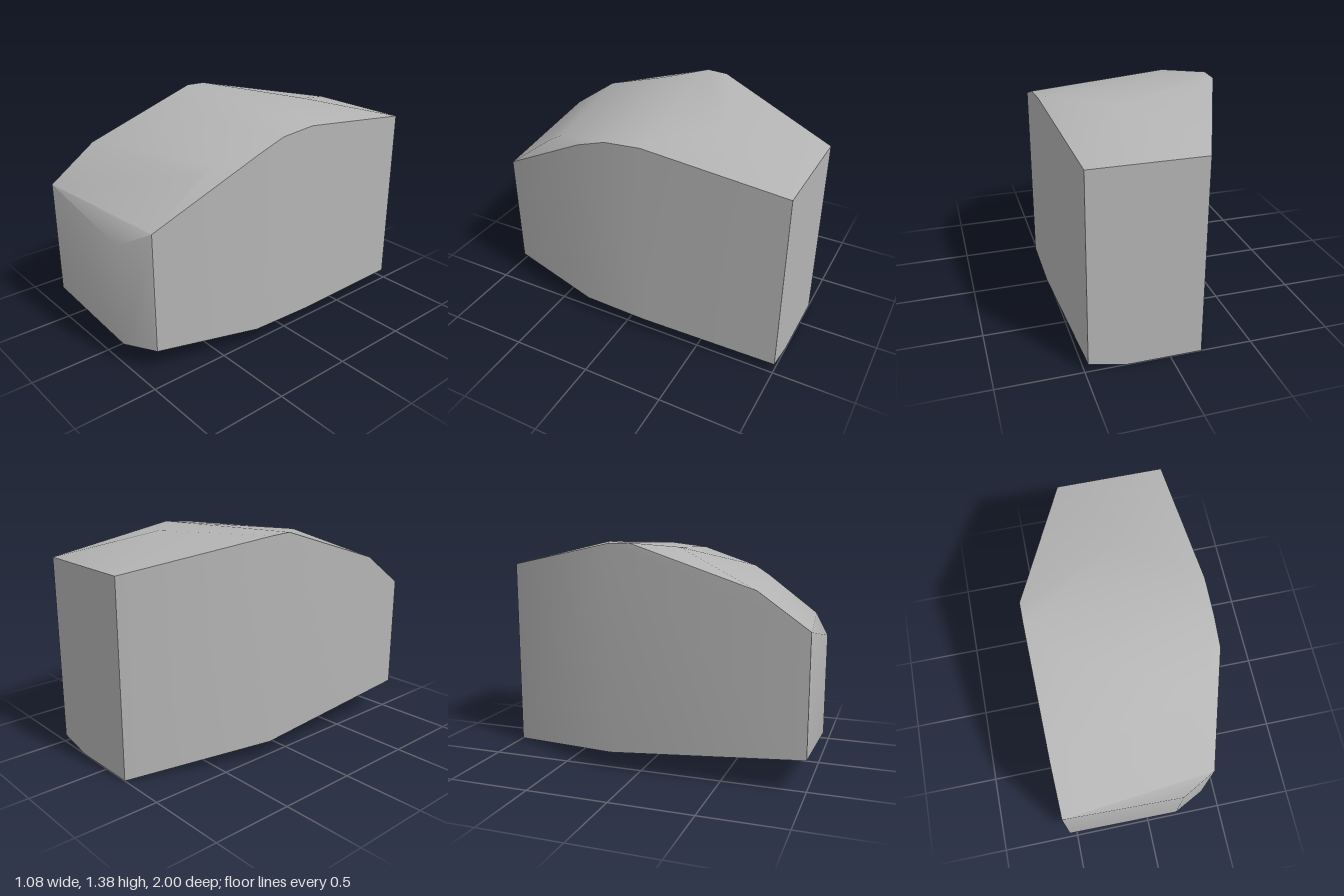
import * as THREE from 'three';
import { ConvexGeometry } from 'three/addons/geometries/ConvexGeometry.js';
import { toCreasedNormals } from 'three/addons/utils/BufferGeometryUtils.js';

export function createModel() {
  const group = new THREE.Group();
  group.name = 'block';
  const grey = new THREE.MeshStandardMaterial({ color: 0xb4b4b4 });
  grey.name = 'stone grey';

  // upright wall corners, each: x, z, bottom y, top y
  const walls = [
    [-0.54, 1, 0.2, 0.92], [0.19, 1, 0.14, 0.78], [0.39, 0.9, 0.15, 0.89],
    [0.54, 0.27, 0.11, 1.24], [0.54, -0.14, 0.095, 1.32], [0.48, -1, 0.05, 1.205],
    [-0.19, -1, 0, 1.205], [-0.54, -0.18, 0.11, 1.37],
  ];
  const points = walls.flatMap(([x, z, low, high]) => [
    new THREE.Vector3(x, low, z), new THREE.Vector3(x, high, z),
  ]);

  // extra corners on the domed top and the sloping underside
  const extras = [
    [-0.54, 1.13, 0.7], [0.39, 1.13, 0.58], [0.41, 1.19, 0.48], [-0.34, 1.345, 0.19],
    [-0.54, 1.375, -0.05], [0.54, 1.3, 0.09], [0.5, 1.33, -0.15], [0.14, 1.347, -0.47],
    [0.26, 0, -1], [0.2, 0, -0.63],
  ];
  extras.forEach((p) => points.push(new THREE.Vector3(...p)));

  // soft shading across shallow edges, sharp rims elsewhere
  const geometry = toCreasedNormals(new ConvexGeometry(points), THREE.MathUtils.degToRad(40));
  const body = new THREE.Mesh(geometry, grey);
  body.name = 'body';
  group.add(body);
  return group;
}
